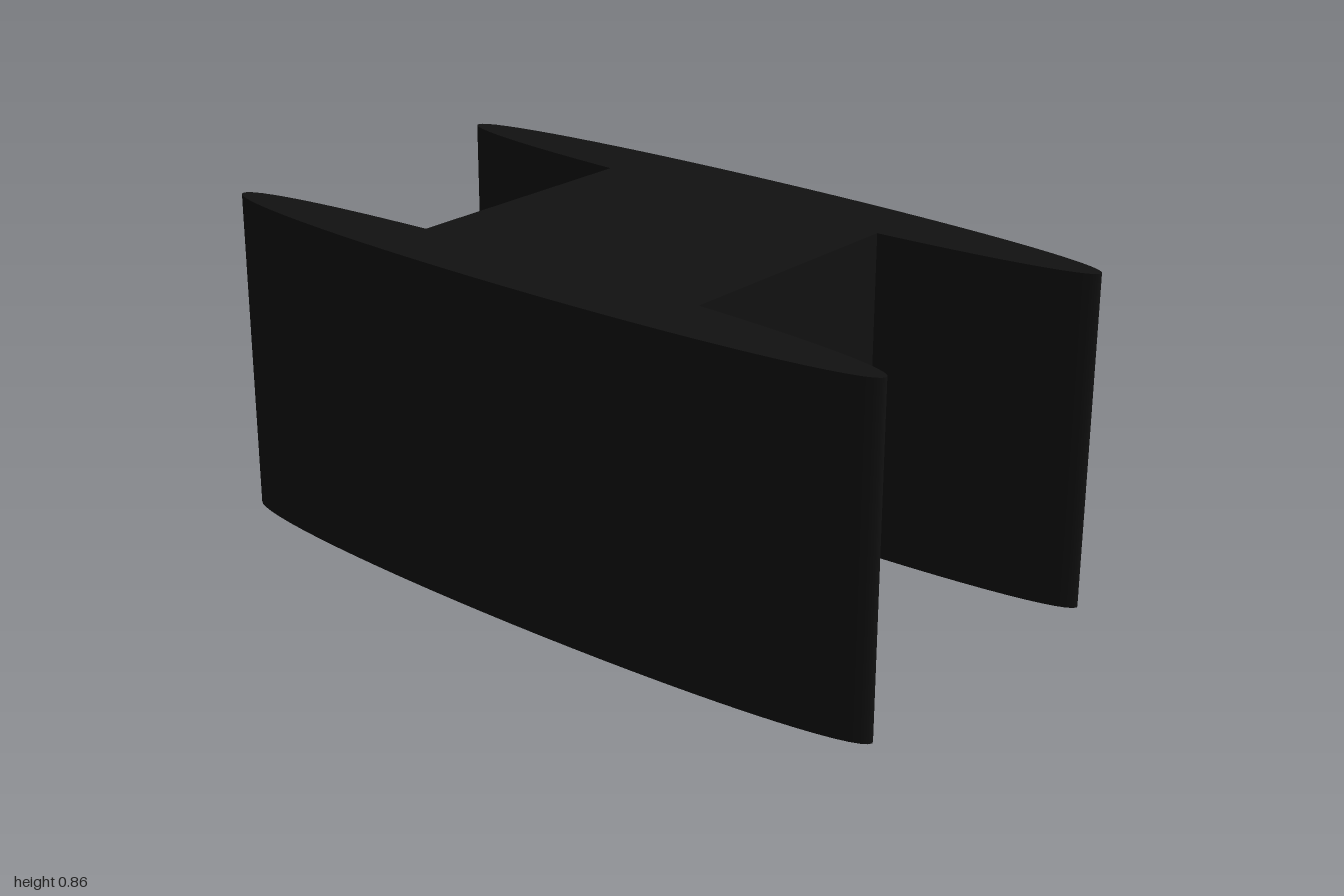
import * as THREE from 'three';

const HEIGHT = 0.86;

export function createModel() {
  const model = new THREE.Group();
  const material = new THREE.MeshStandardMaterial({ color: 0x111111 });

  // Central block, its ends just buried in the side walls
  const block = new THREE.Mesh(new THREE.BoxGeometry(0.7, HEIGHT, 0.86), material);
  block.name = 'centreBlock';
  block.position.y = HEIGHT / 2;
  model.add(block);

  // Long upright walls with an elliptical plan, one on each side
  for (const [name, side] of [['leftWall', 1], ['rightWall', -1]]) {
    const geometry = new THREE.CylinderGeometry(1, 1, HEIGHT, 64);
    geometry.scale(0.098, 1, 1);
    const wall = new THREE.Mesh(geometry, material);
    wall.name = name;
    wall.position.set(side * 0.43, HEIGHT / 2, 0);
    model.add(wall);
  }
  return model;
}
